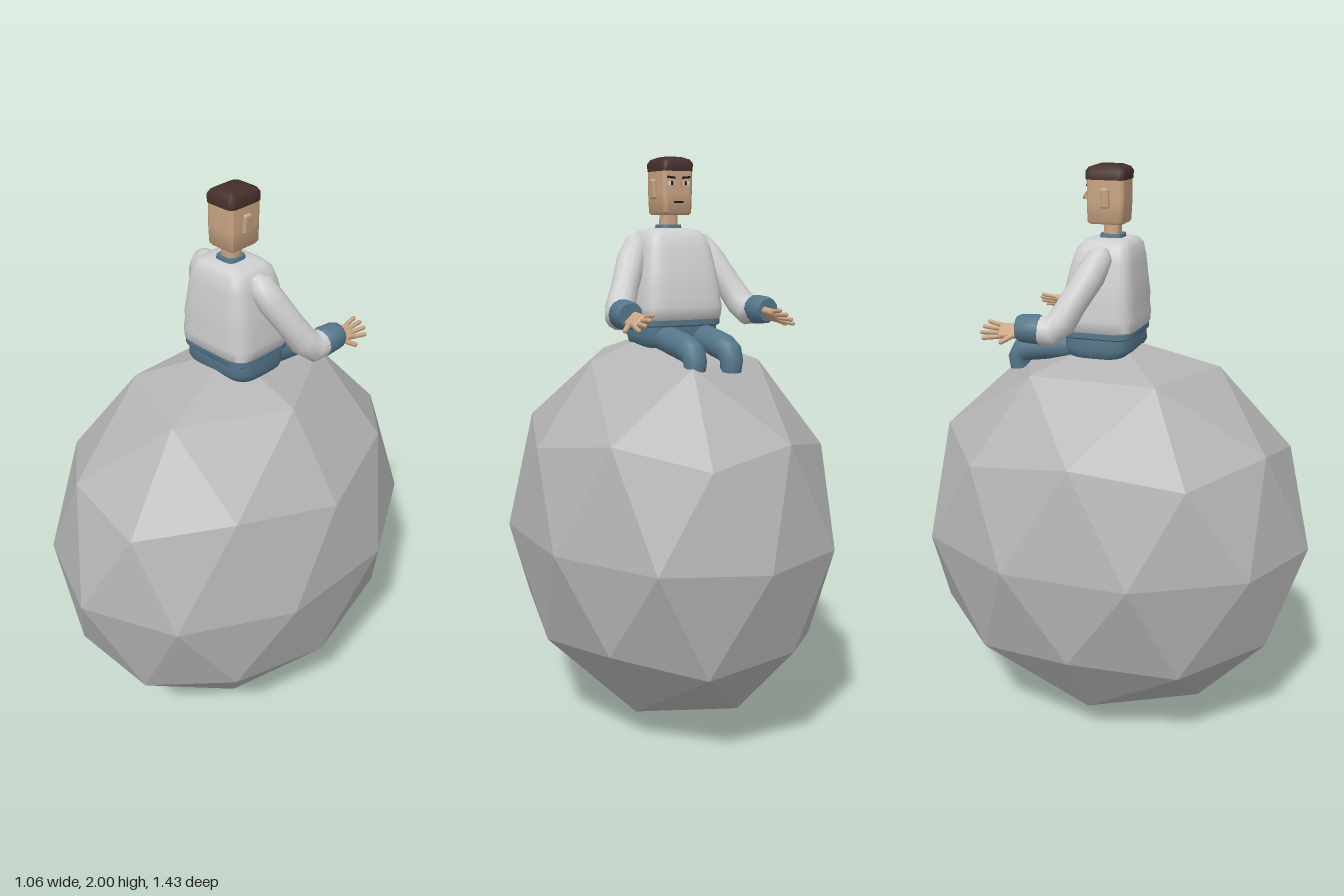
import * as THREE from 'three';
import { toCreasedNormals } from 'three/addons/utils/BufferGeometryUtils.js';
import { RoundedBoxGeometry } from 'three/addons/geometries/RoundedBoxGeometry.js';

const material = (name, color) => {
  const m = new THREE.MeshStandardMaterial({ color });
  m.name = name;
  return m;
};

function add(parent, name, geometry, mat, position = [0, 0, 0], rotation = [0, 0, 0]) {
  const mesh = new THREE.Mesh(geometry, mat);
  mesh.name = name;
  mesh.position.set(...position);
  mesh.rotation.set(...rotation);
  parent.add(mesh);
  return mesh;
}

// Closed skin over a stack of equal-sized rings
function loft(rings, crease = 0.8) {
  const n = rings[0].length;
  const last = rings.length - 1;
  const points = rings.flat();
  const index = [];
  for (let i = 0; i < last; i++) {
    for (let j = 0; j < n; j++) {
      const k = (j + 1) % n;
      const a = i * n + j, b = i * n + k, c = a + n, d = b + n;
      index.push(a, c, b, b, c, d);
    }
  }
  const centre = (ring) => ring.reduce((s, p) => s.add(p), new THREE.Vector3()).divideScalar(n);
  points.push(centre(rings[0]), centre(rings[last]));
  const bottom = points.length - 2, top = points.length - 1;
  for (let j = 0; j < n; j++) {
    const k = (j + 1) % n;
    index.push(bottom, j, k, top, last * n + k, last * n + j);
  }
  const geometry = new THREE.BufferGeometry().setFromPoints(points);
  geometry.setIndex(index);
  return toCreasedNormals(geometry, crease);
}

// Rounded-rectangle sections: [y, half width, front z, back z]
function block(sections, power = 5, sides = 32) {
  const soften = (v) => Math.sign(v) * Math.abs(v) ** (2 / power);
  return loft(sections.map(([y, w, front, back]) =>
    Array.from({ length: sides }, (_, j) => {
      const t = (j / sides) * Math.PI * 2;
      return new THREE.Vector3(w * soften(Math.cos(t)), y,
        (front + back) / 2 + ((back - front) / 2) * soften(Math.sin(t)));
    })));
}

// Round limb through [x, y, z, radius] stations
function limb(stations, sides = 14) {
  const pts = stations.map(([x, y, z]) => new THREE.Vector3(x, y, z));
  return loft(pts.map((p, i) => {
    const t = pts[Math.min(i + 1, pts.length - 1)].clone().sub(pts[Math.max(i - 1, 0)]).normalize();
    const u = new THREE.Vector3(1, 0, 0).addScaledVector(t, -t.x).normalize();
    const v = u.clone().cross(t);
    return Array.from({ length: sides }, (_, j) => {
      const a = (j / sides) * Math.PI * 2, r = stations[i][3];
      return p.clone().addScaledVector(u, r * Math.cos(a)).addScaledVector(v, r * Math.sin(a));
    });
  }), 0.9);
}

// Faceted egg-shaped boulder, one pole straight up
function boulderGeometry() {
  const verts = [0, 1, 0];
  const faces = [];
  const h = 1 / Math.sqrt(5), r = 2 * h;
  for (const [y, offset] of [[h, 0], [-h, Math.PI / 5]]) {
    for (let k = 0; k < 5; k++) {
      const a = offset + (k * Math.PI * 2) / 5;
      verts.push(r * Math.cos(a), y, r * Math.sin(a));
    }
  }
  verts.push(0, -1, 0);
  for (let k = 0; k < 5; k++) {
    const a = 1 + k, b = 1 + (k + 1) % 5, c = 6 + k, d = 6 + (k + 1) % 5;
    faces.push(0, b, a, a, b, c, b, d, c, 11, c, d);
  }
  const geometry = new THREE.PolyhedronGeometry(verts, faces, 1, 1);
  geometry.scale(0.557, 0.71, 0.715);
  geometry.computeVertexNormals();
  return geometry;
}

export function createModel() {
  const model = new THREE.Group();
  model.name = 'figureOnBoulder';
  const stone = material('stone grey', 0xb4b4b4);
  const cloth = material('pale grey cloth', 0xcfcfcf);
  const blue = material('slate blue cloth', 0x55778a);
  const skin = material('skin', 0xcaa583);
  const hair = material('dark brown hair', 0x452e2b);
  const black = material('black', 0x1c1918);
  const white = material('eye white', 0xe6e2dc);

  add(model, 'boulder', boulderGeometry(), stone, [0, 0.715, 0]);

  // Torso, hips and collar
  add(model, 'sweater', block([
    [1.45, 0.135, -0.145, 0.09], [1.463, 0.149, -0.158, 0.103], [1.5, 0.152, -0.163, 0.105],
    [1.53, 0.147, -0.156, 0.101], [1.56, 0.147, -0.155, 0.103], [1.62, 0.137, -0.14, 0.097],
    [1.69, 0.125, -0.122, 0.091], [1.735, 0.114, -0.105, 0.083], [1.755, 0.095, -0.085, 0.07],
    [1.763, 0.06, -0.06, 0.05]]), cloth);
  add(model, 'waistband', block([
    [1.435, 0.14, -0.15, 0.095], [1.44, 0.146, -0.156, 0.1], [1.458, 0.146, -0.156, 0.1]]), blue);
  add(model, 'hips', block([
    [1.35, 0.11, -0.11, 0.05], [1.375, 0.137, -0.14, 0.082], [1.4, 0.142, -0.15, 0.097],
    [1.438, 0.14, -0.15, 0.094]], 4), blue);
  add(model, 'collar', block([
    [1.75, 0.042, -0.045, 0.038], [1.775, 0.038, -0.041, 0.035]], 4), blue);
  add(model, 'neck', block([
    [1.76, 0.03, -0.033, 0.024], [1.82, 0.028, -0.033, 0.024]], 3), skin);

  // Head and hair
  const head = new THREE.Group();
  head.name = 'head';
  model.add(head);
  add(head, 'face', block([
    [1.808, 0.049, -0.073, 0.04], [1.816, 0.055, -0.08, 0.047], [1.88, 0.057, -0.081, 0.05],
    [1.96, 0.057, -0.081, 0.05]], 9), skin);
  add(head, 'hair', block([
    [1.952, 0.06, -0.085, 0.054], [1.978, 0.06, -0.086, 0.055], [1.991, 0.052, -0.077, 0.047],
    [2.0, 0.03, -0.05, 0.025]], 7), hair);
  add(head, 'nose', loft([[1.882, 0.009, -0.107], [1.89, 0.01, -0.108], [1.922, 0.005, -0.086]].map(
    ([y, w, z]) => [[w, -0.076], [-w, -0.076], [-w * 0.7, z], [w * 0.7, z]]
      .map(([x, d]) => new THREE.Vector3(x, y, d)).reverse())), skin);
  add(head, 'mouth', new THREE.BoxGeometry(0.034, 0.006, 0.004), black, [0, 1.85, -0.0815]);
  for (const s of [-1, 1]) {
    add(head, 'ear', new RoundedBoxGeometry(0.016, 0.066, 0.03, 3, 0.007), skin,
      [s * 0.061, 1.894, -0.012], [0, 0, s * -0.08]);
    add(head, 'eyeWhite', new THREE.BoxGeometry(0.022, 0.012, 0.004), white, [s * 0.027, 1.912, -0.081]);
    add(head, 'pupil', new THREE.BoxGeometry(0.01, 0.012, 0.004), black, [s * 0.026, 1.912, -0.082]);
    add(head, 'eyebrow', new THREE.BoxGeometry(0.03, 0.007, 0.005), black,
      [s * 0.028, 1.931, -0.0815], [0, 0, s * 0.1]);
  }

  // Arms and legs, mirrored
  for (const s of [-1, 1]) {
    const side = new THREE.Group();
    side.name = s > 0 ? 'leftLimbs' : 'rightLimbs';
    side.scale.x = s;
    model.add(side);

    add(side, 'leg', limb([
      [0.07, 1.395, 0.0, 0.042], [0.07, 1.395, -0.12, 0.046], [0.069, 1.383, -0.22, 0.046],
      [0.068, 1.374, -0.28, 0.045], [0.068, 1.36, -0.315, 0.043], [0.068, 1.335, -0.33, 0.039],
      [0.068, 1.3, -0.325, 0.036]], 18), blue);

    add(side, 'sleeve', limb([
      [0.105, 1.735, 0.0, 0.02], [0.12, 1.715, -0.005, 0.042], [0.155, 1.655, -0.03, 0.05],
      [0.2, 1.57, -0.075, 0.047], [0.23, 1.51, -0.105, 0.05], [0.248, 1.48, -0.14, 0.051],
      [0.254, 1.487, -0.185, 0.048]]), cloth);
    add(side, 'cuff', limb([
      [0.253, 1.487, -0.165, 0.044], [0.254, 1.487, -0.175, 0.05], [0.258, 1.488, -0.235, 0.046],
      [0.259, 1.488, -0.248, 0.04]]), blue);

    // Open hand, palm turned up and inward
    const hand = new THREE.Group();
    hand.name = 'hand';
    hand.position.set(0.256, 1.478, -0.235);
    hand.rotation.set(-0.08, 0, -0.75);
    side.add(hand);
    add(hand, 'palm', new RoundedBoxGeometry(0.056, 0.024, 0.085, 3, 0.01), skin, [0, 0, -0.04]);
    [0.047, 0.06, 0.063, 0.054].forEach((length, i) => {
      const x = -0.023 + i * 0.0155, fan = 0.22 - i * 0.13;
      add(hand, 'finger', new THREE.CapsuleGeometry(0.0075, length, 3, 8).translate(0, length / 2, 0),
        skin, [x, 0.001, -0.076], [-Math.PI / 2 + 0.12, 0, fan]);
    });
    add(hand, 'thumb', new THREE.CapsuleGeometry(0.009, 0.042, 3, 8).translate(0, 0.021, 0),
      skin, [0.022, 0.002, -0.03], [-Math.PI / 2 + 0.25, 0, -0.75]);
  }
  return model;
}
